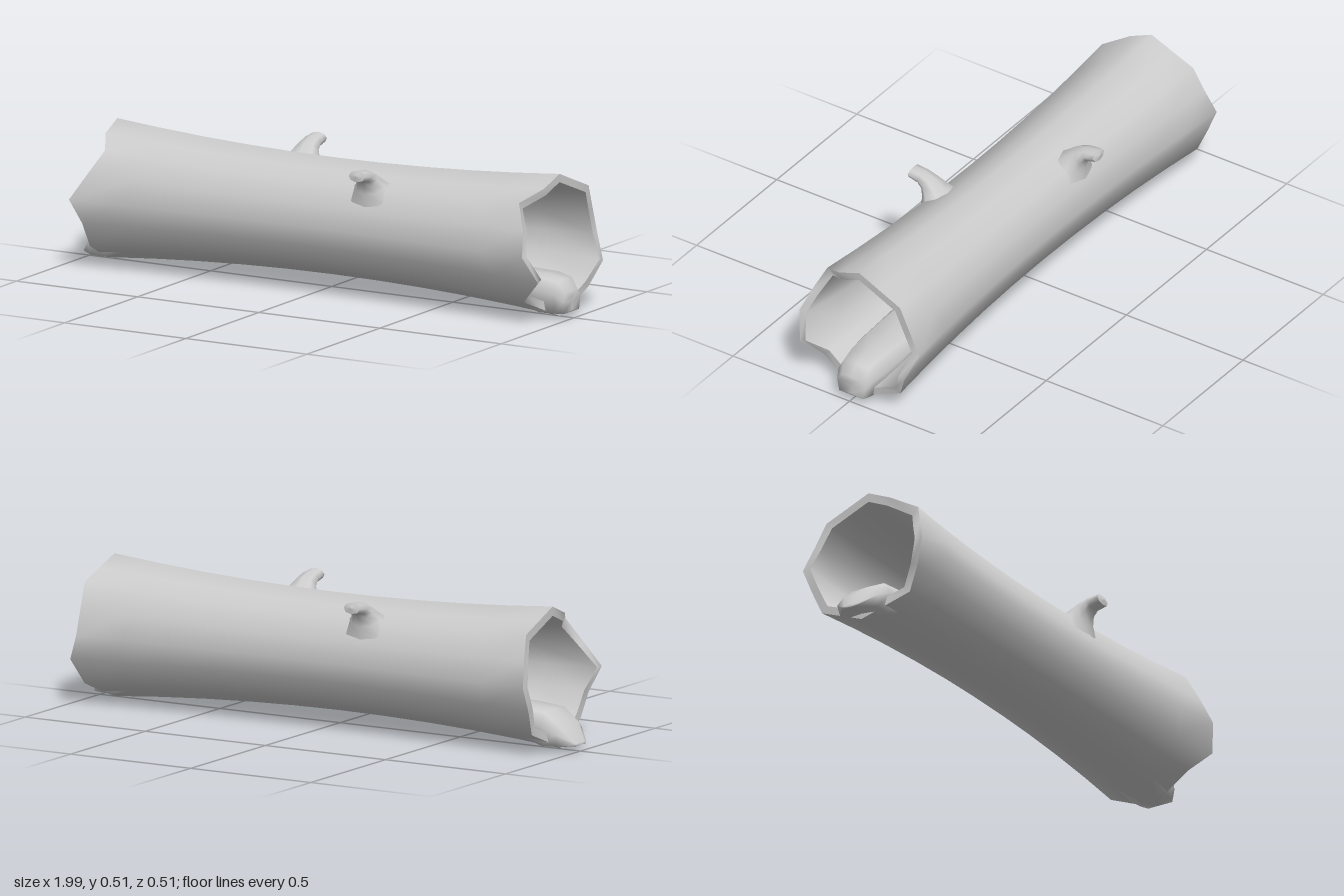
import * as THREE from 'three';

const material = new THREE.MeshStandardMaterial({ color: 0xcccccc, side: THREE.DoubleSide });
const CENTRE_Y = 0.26;
const COLS = 16; // eight corners plus the middle of each side

// Skin a list of closed rings; rings turn so that ring direction x path direction points outward
function loft(name, rings, flip = false) {
  const n = rings[0].length, index = [];
  for (let i = 0; i < rings.length - 1; i++) {
    for (let j = 0; j < n; j++) {
      const k = (j + 1) % n;
      const a = i * n + j, b = i * n + k, c = a + n, d = b + n;
      if (flip) index.push(a, c, b, b, c, d);
      else index.push(a, b, c, b, d, c);
    }
  }
  const geometry = new THREE.BufferGeometry();
  geometry.setAttribute('position', new THREE.Float32BufferAttribute(rings.flat(2), 3));
  geometry.setIndex(index);
  geometry.computeVertexNormals();
  const mesh = new THREE.Mesh(geometry, material);
  mesh.name = name;
  return mesh;
}

// Broken edge of each end, from the top round by the front, bottom and back
const RIGHT_END = [-0.885, -0.88, -0.83, -0.88, -0.93, -0.9, -0.89, -0.91,
  -0.93, -0.92, -0.91, -0.92, -0.92, -0.9, -0.885, -0.885];
const LEFT_END = [0.94, 0.93, 0.88, 0.92, 0.94, 0.985, 0.9, 0.92,
  0.94, 0.95, 0.95, 0.985, 0.94, 0.945, 0.95, 0.945];

const outerRadius = x => 0.212 + 0.051 * x * x;
const innerRadius = x => 0.152 + 0.085 * x * x;

// One octagonal ring of the log, t = 0 at the right end and 1 at the left end
function logRing(t, radius) {
  return Array.from({ length: COLS }, (_, j) => {
    const a = (j / COLS) * Math.PI * 2;
    const x = THREE.MathUtils.lerp(RIGHT_END[j], LEFT_END[j], t);
    const r = radius(x) * (j % 2 ? Math.cos(Math.PI / 8) : 1);
    return [x, CENTRE_Y + r * Math.cos(a), r * Math.sin(a)];
  });
}

// Stub of a broken branch: flares from the bark, then bends outward
function branchStub(name) {
  // y, z, half width, half height
  const path = [
    [0.385, 0.125, 0.1, 0.07], [0.425, 0.15, 0.06, 0.045], [0.452, 0.172, 0.042, 0.032],
    [0.468, 0.2, 0.036, 0.024], [0.475, 0.243, 0.034, 0.021], [0.475, 0.243, 0.034, 0.021],
    [0.476, 0.249, 0, 0],
  ];
  const directions = [[0.9, 0.45], [0.8, 0.6], [0.65, 0.76], [0.35, 0.94], [0.2, 0.98], [0.2, 0.98], [0.2, 0.98]];
  const sides = 8;
  const rings = path.map(([y, z, w, h], i) => {
    const [dy, dz] = directions[i];
    return Array.from({ length: sides }, (_, j) => {
      const a = (j / sides) * Math.PI * 2;
      const s = Math.sin(a) * h;
      return [Math.cos(a) * w, y + s * dz, z - s * dy];
    });
  });
  return loft(name, rings);
}

// Earth lying in the log and bulging from both ends
function earthFloor() {
  // x, half width, bottom, top
  const sections = [
    [-1, 0, 0.025, 0.028], [-1, 0.04, 0.025, 0.035], [-0.95, 0.09, 0.025, 0.1], [-0.89, 0.1, 0.025, 0.145],
    [-0.78, 0.1, 0.06, 0.155], [-0.5, 0.1, 0.095, 0.153], [0, 0.1, 0.1, 0.15],
    [0.5, 0.1, 0.095, 0.153], [0.78, 0.095, 0.06, 0.155], [0.9, 0.085, 0.025, 0.152],
    [0.96, 0.075, 0.025, 0.14], [0.99, 0.06, 0.025, 0.1], [0.99, 0, 0.03, 0.08],
  ];
  const rings = sections.map(([x, w, b, t]) => {
    const shoulder = b + (t - b) * 0.6;
    return [
      [x, t, 0], [x, t - 0.003, w * 0.7], [x, shoulder, w], [x, b, w * 0.85],
      [x, b, 0],
      [x, b, -w * 0.85], [x, shoulder, -w], [x, t - 0.003, -w * 0.7],
    ];
  });
  return loft('earthFloor', rings);
}

export function createModel() {
  const model = new THREE.Group();
  model.name = 'hollowLog';

  // Bark outside and hollow inside, both narrowing to the middle
  const steps = Array.from({ length: 11 }, (_, i) => i / 10);
  model.add(loft('bark', steps.map(t => logRing(t, outerRadius))));
  model.add(loft('hollow', steps.map(t => logRing(t, innerRadius)), true));

  // Broken rims joining the two
  model.add(loft('rightRim', [logRing(0, innerRadius), logRing(0, outerRadius)]));
  model.add(loft('leftRim', [logRing(1, outerRadius), logRing(1, innerRadius)]));

  model.add(earthFloor());

  // Two stubs, front and back
  const front = branchStub('frontBranchStub');
  front.position.x = 0.25;
  const back = branchStub('backBranchStub');
  back.position.x = -0.2;
  back.rotation.y = Math.PI;
  model.add(front, back);

  return model;
}
